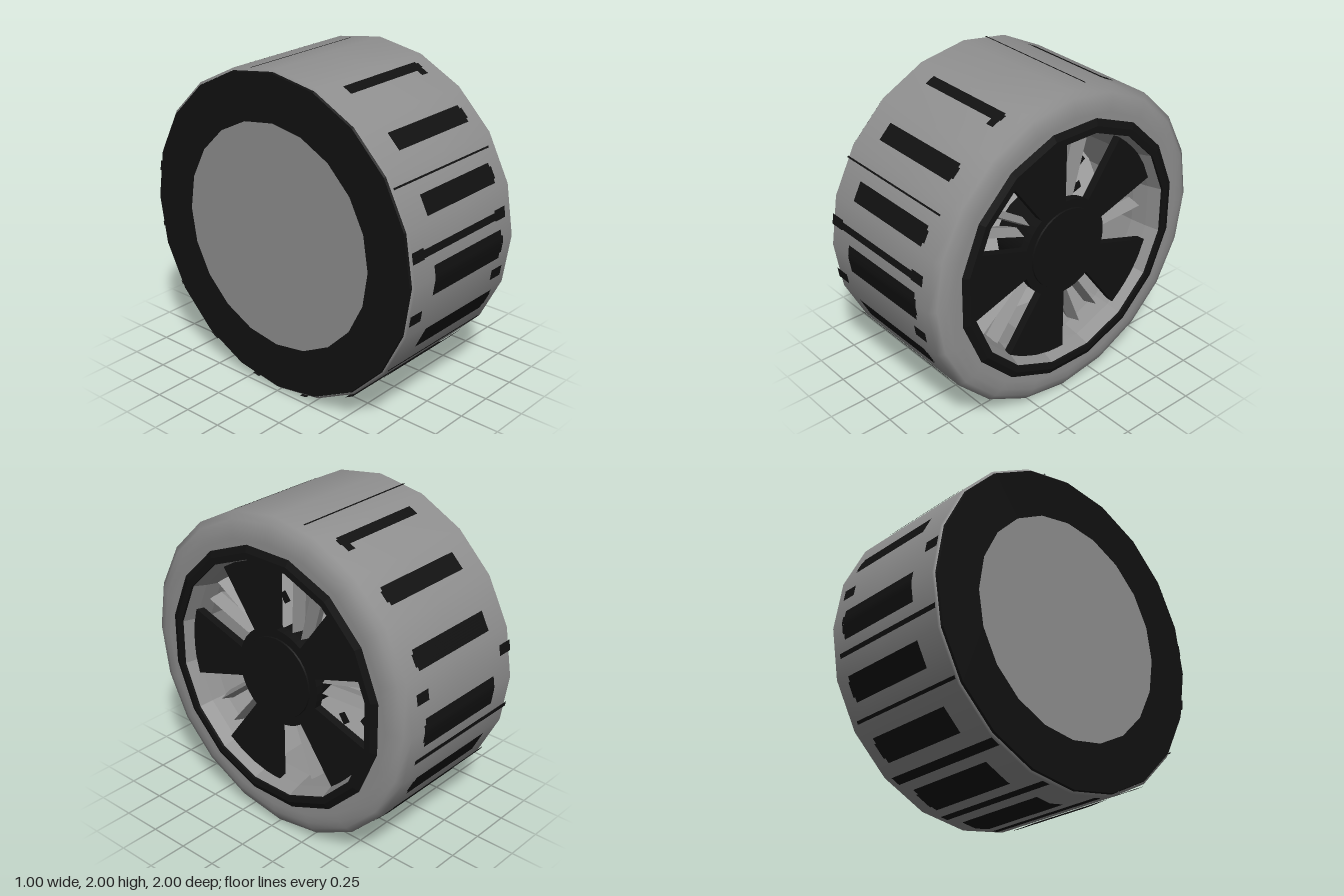
import * as THREE from 'three';

const DEG = Math.PI / 180;
const R = 0.994; // tyre radius
const SIDES = 20;

function material(name, color) {
  const m = new THREE.MeshStandardMaterial({ color });
  m.name = name;
  return m;
}

export function createModel() {
  const rubber = material('tyre grey', 0x909090);
  const black = material('black', 0x111111);
  const steel = material('light steel', 0xbcbcbc);
  const blackTread = material('tread black', 0x111111);
  blackTread.side = THREE.DoubleSide;

  const wheel = new THREE.Group();
  wheel.name = 'wheel';
  wheel.position.y = 1.006;

  function add(name, geometry, mat, parent = wheel) {
    const mesh = new THREE.Mesh(geometry, mat);
    mesh.name = name;
    parent.add(mesh);
    return mesh;
  }

  // Ring around the x axle; profile is a list of [radius, x]
  function ring(name, profile, mat, sides, flat = false, start = 0) {
    const pts = profile.map(([r, x]) => new THREE.Vector2(r, x));
    let g = new THREE.LatheGeometry(pts, sides, start);
    if (flat) {
      g = g.toNonIndexed();
      g.computeVertexNormals();
    }
    g.rotateZ(-Math.PI / 2);
    return add(name, g, mat);
  }

  // Tyre
  ring('tyre', [[0.98, -0.487], [R, -0.478], [R, 0.0], [R, 0.43], [0.955, 0.458],
    [0.905, 0.477], [0.85, 0.481], [0.77, 0.481]], rubber, SIDES);
  ring('backSidewall', [[0.69, -0.498], [0.69, -0.5], [0.975, -0.5], [0.98, -0.485]], black, SIDES, true);
  ring('backPlate', [[0, -0.497], [0.7, -0.497]], rubber, SIDES, true);

  // Rim
  const half = 11.25 * DEG;
  ring('rimLip', [[0.815, 0.47], [0.815, 0.482], [0.775, 0.5], [0.735, 0.5], [0.735, 0.48]], black, 16, true, half);
  ring('rimBarrel', [[0.735, 0.485], [0.71, 0.4], [0.69, 0.3], [0.66, -0.4]], rubber, 16, true, half);
  ring('barrelFloor', [[0.68, -0.4], [0, -0.4]], rubber, 16, true, half);

  // Five broad spokes cut as one star-shaped plate
  const star = new THREE.Shape();
  for (let k = 0; k < 5; k++) {
    const a = 72 * k;
    for (const t of [-18, -9, 0, 9, 18]) {
      const p = [0.305 * Math.cos((a + t) * DEG), 0.305 * Math.sin((a + t) * DEG)];
      if (k === 0 && t === -18) star.moveTo(...p);
      else star.lineTo(...p);
    }
    for (const t of [18, 27, 36, 45, 54]) {
      star.lineTo(0.705 * Math.cos((a + t) * DEG), 0.705 * Math.sin((a + t) * DEG));
    }
  }
  star.closePath();
  const plate = new THREE.ExtrudeGeometry(star, { depth: 0.05, bevelEnabled: false });
  plate.rotateY(Math.PI / 2).translate(0.37, 0, 0);
  add('broadSpokes', plate, black);

  const cap = new THREE.CylinderGeometry(0.25, 0.262, 0.06, 32).rotateZ(-Math.PI / 2).translate(0.4, 0, 0);
  add('hubCap', cap, black);
  const axle = new THREE.CylinderGeometry(0.24, 0.24, 0.75, 20).rotateZ(-Math.PI / 2);
  add('axle', axle, black);

  // Pairs of thin ridged blades inside every window
  const up = new THREE.Vector3(0, 1, 0);
  const polar = (r, deg, x) => new THREE.Vector3(x, r * Math.sin(deg * DEG), -r * Math.cos(deg * DEG));
  for (let k = 0; k < 5; k++) {
    for (const [inner, outer] of [[7, 12], [-7, -1]]) {
      const a = polar(0.28, 72 * k + inner, 0.27);
      const b = polar(0.68, 72 * k + outer, 0.27);
      const dir = b.clone().sub(a);
      let g = new THREE.CylinderGeometry(0.026, 0.024, dir.length(), 4).toNonIndexed();
      g.computeVertexNormals();
      g.scale(3.2, 1, 1);
      g.computeVertexNormals();
      const blade = add('thinBlade', g, rubber);
      // keep the ridge facing out along x
      const y = dir.normalize();
      const x = new THREE.Vector3(1, 0, 0);
      blade.quaternion.setFromRotationMatrix(new THREE.Matrix4().makeBasis(x, y, x.clone().cross(y)));
      blade.position.copy(a).add(b).multiplyScalar(0.5);
    }
  }

  // Brake disc with dark vents
  ring('brakeDisc', [[0.56, 0.04], [0.56, 0.1], [0.2, 0.1]], steel, 24, true);
  for (let i = 0; i < 20; i++) {
    const g = new THREE.BoxGeometry(0.01, 0.05, 0.07);
    g.translate(0.1, 0, i % 2 ? -0.4 : -0.5);
    add('brakeVent', g.rotateX(i * 18 * DEG), black);
  }

  // Thin tread patch hugging the many-sided tyre; 0 degrees is the front
  function patch(name, deg, width, x0, x1) {
    const pos = [], idx = [], n = 8;
    for (let i = 0; i <= n; i++) {
      const t = deg + (width / R / DEG) * (i / n - 0.5);
      const within = ((t % 18) + 18) % 18 - 9;
      const lift = 0.004 + 0.004 * (1 - Math.sin(t * DEG));
      const r = R * Math.cos(9 * DEG) / Math.cos(within * DEG) + lift;
      for (const x of [x0, x1]) pos.push(x, r * Math.sin(t * DEG), r * Math.cos(t * DEG));
      if (i < n) {
        const a = 2 * i;
        idx.push(a, a + 1, a + 3, a, a + 3, a + 2);
      }
    }
    const g = new THREE.BufferGeometry();
    g.setAttribute('position', new THREE.Float32BufferAttribute(pos, 3));
    g.setIndex(idx);
    g.computeVertexNormals();
    add(name, g, blackTread);
  }

  // Main bars, mirrored front and back, wider towards the ground
  const bars = [[67.5, 0.065], [45, 0.113], [23.5, 0.12], [-1, 0.18], [-23.2, 0.155], [-45, 0.165], [-67.5, 0.19]];
  for (const [deg, w] of bars) {
    for (const a of [deg, 180 - deg]) {
      patch('treadBar', a, w, -0.31, 0.315);
      patch('treadBarTip', a, w * 0.6, 0.315, 0.33);
    }
  }
  patch('treadBar', -90, 0.2, -0.31, 0.32);
  patch('treadHook', 65, 0.06, 0.265, 0.32);
  patch('treadHook', 115, 0.06, 0.265, 0.32);

  // Long thin grooves, some with only their ends showing
  const grooves = [[31.7, 0.011], [9.3, 0.046], [-33.7, 0.012], [-56.5, 0.06], [-78.7, 0.05],
    [100, 0.011], [191, 0.03], [213.7, 0.02], [236.5, 0.06], [258.7, 0.05]];
  for (const [deg, w] of grooves) patch('groove', deg, w, -0.485, 0.37);
  for (const deg of [9.5, -12, 168.5]) {
    patch('grooveEnd', deg, 0.066, -0.485, -0.385);
    patch('grooveEnd', deg, 0.066, 0.27, 0.37);
  }

  const model = new THREE.Group();
  model.name = 'wheelModel';
  model.add(wheel);
  return model;
}
